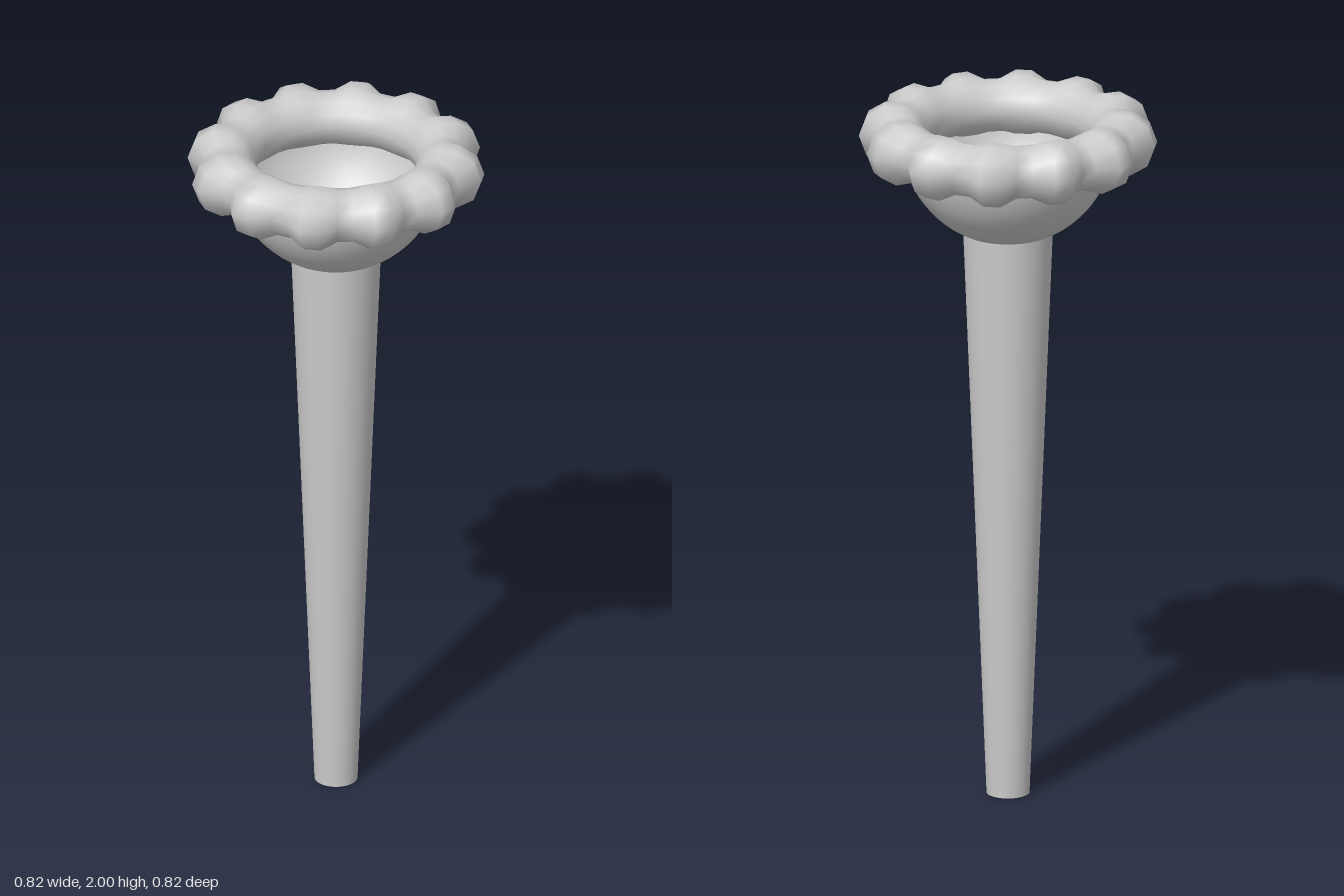
import * as THREE from 'three';
import { mergeVertices } from 'three/addons/utils/BufferGeometryUtils.js';

const RIM_Y = 1.917, RIM_R = 0.297, TUBE_R = 0.075;
const STEM_TOP = 1.648, STEM_R = 0.125;

// Torus whose outer side swells into twelve lobes
function scallopedRim() {
  let geo = new THREE.TorusGeometry(RIM_R, TUBE_R, 12, 48);
  geo.rotateX(Math.PI / 2);
  geo.deleteAttribute('uv');
  geo.deleteAttribute('normal');
  geo = mergeVertices(geo, 1e-5);
  const pos = geo.attributes.position;
  for (let i = 0; i < pos.count; i++) {
    const x = pos.getX(i), y = pos.getY(i), z = pos.getZ(i);
    const around = Math.atan2(z, x);
    const r = Math.hypot(x, z);
    const out = (r - RIM_R) / TUBE_R; // -1 at the hole, 1 at the outer edge
    const lobe = Math.cos(12 * around - 1.25 * Math.PI) > 0 ? 1 : 0;
    const grow = 0.044 * lobe * ((1 + out) / 2) ** 2;
    const newR = r + grow * out;
    pos.setXYZ(i, (x / r) * newR, y + grow * (y / TUBE_R), (z / r) * newR);
  }
  geo.computeVertexNormals();
  return geo;
}

export function createModel() {
  const group = new THREE.Group();
  const grey = new THREE.MeshStandardMaterial({ color: 0xcccccc });
  const greyDouble = new THREE.MeshStandardMaterial({ color: 0xcccccc, side: THREE.DoubleSide });

  const add = (name, geo, y, material = grey) => {
    const mesh = new THREE.Mesh(geo, material);
    mesh.name = name;
    mesh.position.y = y;
    group.add(mesh);
  };

  // Tapered stem, narrow at the foot
  add('stem', new THREE.CylinderGeometry(STEM_R, 0.06, STEM_TOP, 48), STEM_TOP / 2);

  // Dome over the stem, inside the bowl
  add('centreDome', new THREE.SphereGeometry(STEM_R, 48, 12, 0, Math.PI * 2, 0, Math.PI / 2), STEM_TOP);

  // Open half-sphere bowl
  add('bowl', new THREE.SphereGeometry(RIM_R, 64, 20, 0, Math.PI * 2, Math.PI / 2, Math.PI / 2), RIM_Y, greyDouble);

  // Lobed rim
  add('scallopedRim', scallopedRim(), RIM_Y);

  return group;
}
